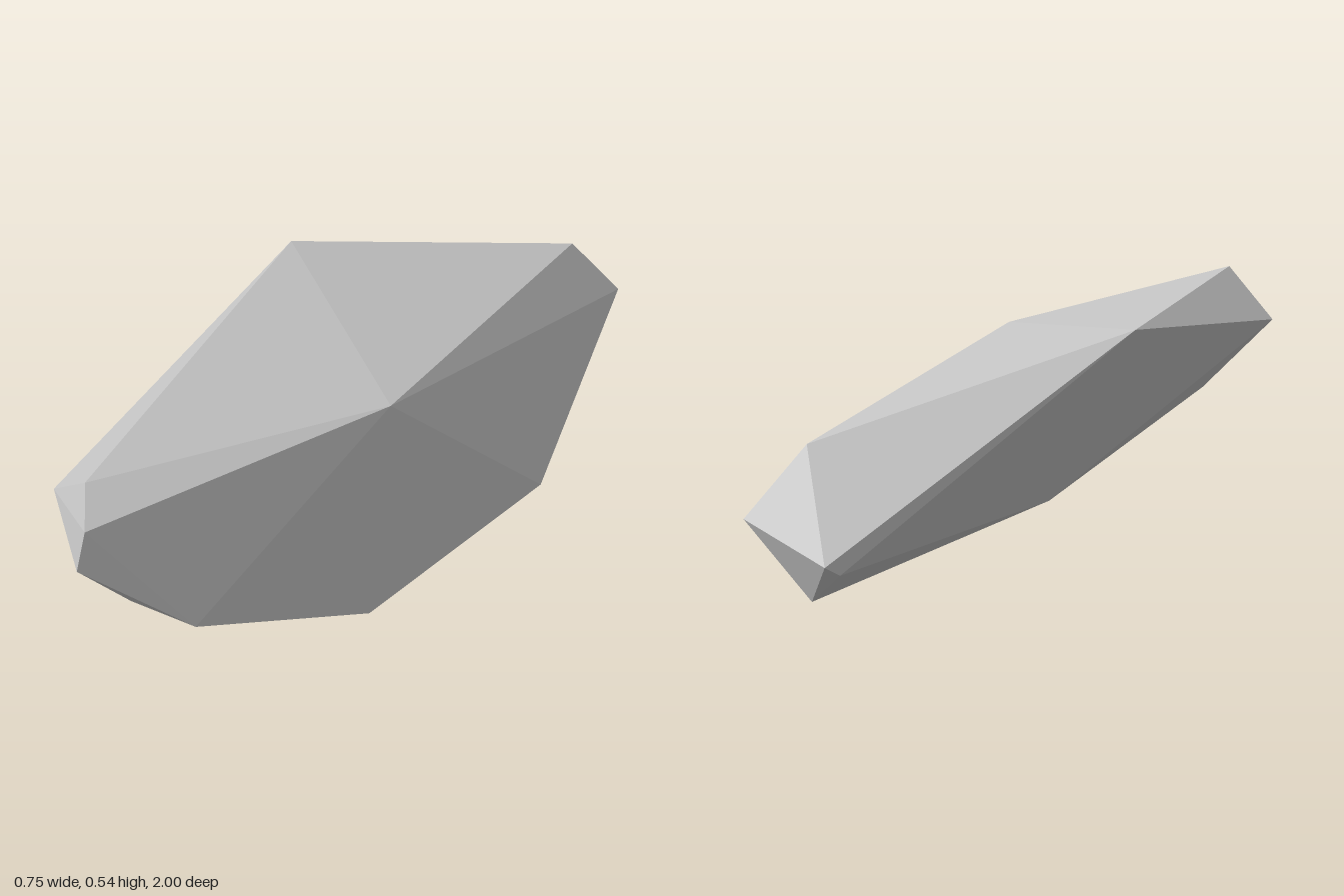
import * as THREE from 'three';
import { ConvexGeometry } from 'three/addons/geometries/ConvexGeometry.js';

// Long faceted rock: the convex hull of its corner points.
export function createModel() {
  const group = new THREE.Group();
  group.name = 'rock';

  const corners = [
    // front end
    [0.187, 0.545, 0.91], [0.28, 0.507, 0.98], [0.27, 0.413, 1.0],
    [0.01, 0.417, 0.875], [0.375, 0.222, 0.79], [0.217, 0.222, 0.84],
    // middle ridges and belly
    [-0.367, 0.493, -0.09], [0.275, 0.445, 0.16], [0.315, 0.04, -0.29],
    [0.375, 0.002, 0.31], [-0.142, 0.087, -0.13],
    // back end
    [-0.14, 0.3, -0.845], [-0.07, 0.15, -0.957], [-0.373, 0.1, -1.0],
    [-0.378, 0.08, -0.965], [-0.262, 0.005, -0.94],
  ].map((p) => new THREE.Vector3(...p));

  const stone = new THREE.MeshStandardMaterial({ color: 0xc4c4c4, flatShading: true });
  stone.name = 'grey stone';

  const body = new THREE.Mesh(new ConvexGeometry(corners), stone);
  body.name = 'rockBody';
  group.add(body);
  return group;
}
